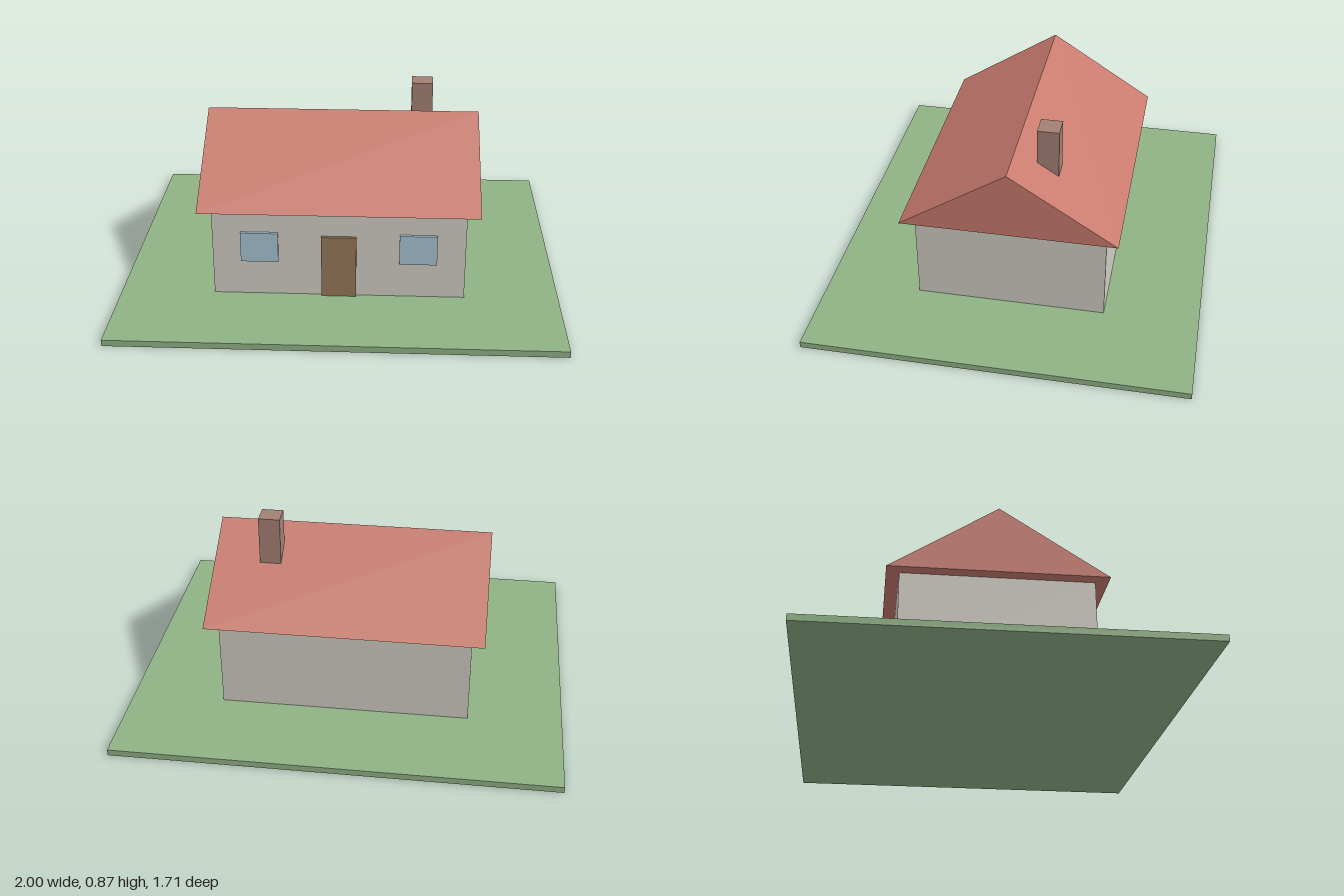
import * as THREE from 'three';

const material = (name, color) => {
  const m = new THREE.MeshStandardMaterial({ color });
  m.name = name;
  return m;
};

// Box given by its lower and upper bounds on each axis
function block(name, mat, [x0, x1], [y0, y1], [z0, z1]) {
  const mesh = new THREE.Mesh(new THREE.BoxGeometry(x1 - x0, y1 - y0, z1 - z0), mat);
  mesh.position.set((x0 + x1) / 2, (y0 + y1) / 2, (z0 + z1) / 2);
  mesh.name = name;
  return mesh;
}

export function createModel() {
  const grass = material('grass green', 0x8fb185);
  const plaster = material('plaster grey', 0xd0cbc2);
  const tile = material('roof red', 0xc87b6e);
  const wood = material('door brown', 0x96785a);
  const glass = material('window blue', 0xa6c2d2);
  const brick = material('chimney brown', 0xa48074);

  const house = new THREE.Group();
  house.name = 'house';

  // Lawn and walls
  house.add(block('lawn', grass, [-1, 1], [0, 0.029], [-0.857, 0.857]));
  house.add(block('walls', plaster, [-0.571, 0.571], [0.029, 0.457], [-0.429, 0.429]));

  // Gable roof: triangle swept along x
  const halfLength = 0.629, halfDepth = 0.486, eave = 0.457, ridge = 0.771;
  const gable = new THREE.Shape([
    new THREE.Vector2(-halfDepth, eave),
    new THREE.Vector2(halfDepth, eave),
    new THREE.Vector2(0, ridge),
  ]);
  const roofGeometry = new THREE.ExtrudeGeometry(gable, { depth: 2 * halfLength, bevelEnabled: false });
  roofGeometry.translate(0, 0, -halfLength).rotateY(Math.PI / 2);
  const roof = new THREE.Mesh(roofGeometry, tile);
  roof.name = 'roof';
  house.add(roof);

  // Chimney on the back slope
  house.add(block('chimney', brick, [0.32, 0.418], [0.6, 0.872], [-0.191, -0.094]));

  // Door and the two front windows stand slightly proud of the wall
  const proud = [0.429, 0.443];
  house.add(block('door', wood, [-0.079, 0.079], [0.029, 0.329], proud));
  for (const [side, s] of [['left', 1], ['right', -1]]) {
    const centre = s * 0.358;
    house.add(block(`${side}Window`, glass, [centre - 0.085, centre + 0.085], [0.2, 0.343], proud));
  }
  return house;
}
